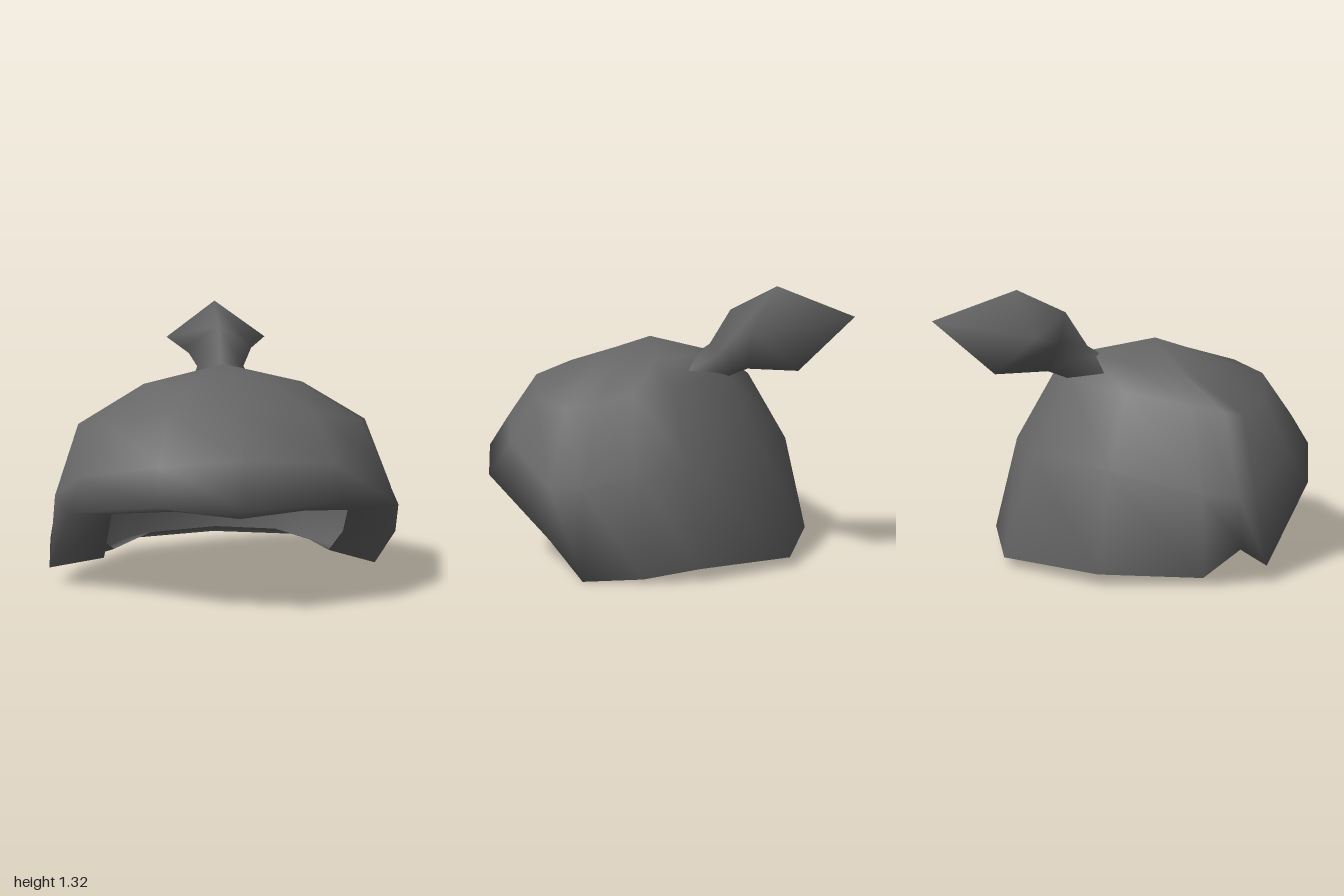
import * as THREE from 'three';
import { mergeVertices } from 'three/addons/utils/BufferGeometryUtils.js';

// Smooth skin over a list of closed rings, each an array of [x, y, z]
function loft(rings) {
  const n = rings[0].length;
  const index = [];
  for (let r = 0; r < rings.length - 1; r++) {
    for (let c = 0; c < n; c++) {
      const a = r * n + c, b = r * n + (c + 1) % n;
      index.push(a, b, a + n, b, b + n, a + n);
    }
  }
  let geo = new THREE.BufferGeometry();
  geo.setAttribute('position', new THREE.Float32BufferAttribute(rings.flat(2), 3));
  geo.setIndex(index);
  geo = mergeVertices(geo, 1e-4);
  geo.computeVertexNormals();
  return geo;
}

const pointRing = (n, p) => Array.from({ length: n }, () => p);

// Hair edge, from the front centre round by the left side
const rim = [
  [0, 0.49, 1], [0.46, 0.49, 0.84], [0.76, 0.42, 0.55], [0.855, 0.19, 0.08], [0.78, 0, -0.05],
  [0.64, 0.02, -0.29], [0.46, 0.06, -0.48], [0, 0.045, -0.67], [-0.5, 0.06, -0.45],
  [-0.75, 0.04, -0.04], [-0.86, 0.19, 0.1], [-0.86, 0.08, 0.24], [-0.75, 0.41, 0.57],
  [-0.37, 0.49, 0.89],
];
// Inner lip of the hair edge
const lip = [
  [0, 0.41, 0.77], [0.3, 0.42, 0.66], [0.54, 0.38, 0.46], [0.585, 0.2, 0.1], [0.54, 0.07, -0.05],
  [0.46, 0.09, -0.24], [0.31, 0.11, -0.4], [0, 0.1, -0.54], [-0.36, 0.11, -0.37],
  [-0.55, 0.1, -0.04], [-0.61, 0.18, 0.1], [-0.6, 0.12, 0.23], [-0.56, 0.38, 0.46],
  [-0.28, 0.43, 0.68],
];
// Outer ring half way up the head
const side = [
  [0, 0.68, 0.86], [0.42, 0.65, 0.74], [0.7, 0.58, 0.46], [0.825, 0.42, 0.1], [0.77, 0.42, -0.04],
  [0.58, 0.48, -0.21], [0.42, 0.52, -0.37], [0, 0.53, -0.51], [-0.46, 0.52, -0.35],
  [-0.73, 0.42, -0.03], [-0.82, 0.42, 0.1], [-0.83, 0.42, 0.19], [-0.7, 0.56, 0.48],
  [-0.36, 0.65, 0.78],
];

// Shrink the side ring towards the crown: narrower behind, lower at the ears
const crownRing = (sx, sz, centreZ, y, droop) => side.map(([x, , z]) => [
  x * sx * (0.88 + 0.12 * THREE.MathUtils.smoothstep(z, -0.05, 0.2)),
  y - droop * x * x,
  centreZ + (z - centreZ) * sz,
]);

// Hollow cap with a turned-in edge, open underneath
function capGeometry() {
  return loft([
    lip,
    rim,
    side,
    crownRing(0.86, 0.73, 0.23, 0.89, 0.18),
    crownRing(0.48, 0.41, 0.05, 0.98, 0.05),
    pointRing(rim.length, [-0.02, 1.045, 0.18]),
  ]);
}

// Tied tail: half width, then [y, z] of the top, sides and underside
function tailGeometry() {
  const sections = [
    [0.17, [0.97, -0.1], [0.9, -0.17], [0.85, -0.25]],
    [0.12, [1.03, -0.2], [0.99, -0.33], [0.89, -0.33]],
    [0.175, [1.2, -0.32], [1.08, -0.45], [0.925, -0.42]],
    [0.265, [1.32, -0.58], [1.125, -0.625], [0.935, -0.7]],
  ];
  const rings = sections.map(([w, top, mid, under]) =>
    [[-w + 0.01, ...mid], [0, ...top], [w + 0.01, ...mid], [0, ...under]]);
  return loft([...rings, pointRing(4, [0.02, 1.2, -1])]);
}

export function createModel() {
  const hair = new THREE.MeshStandardMaterial({ color: 0x666666, side: THREE.DoubleSide });
  hair.name = 'charcoal hair';

  const group = new THREE.Group();
  group.name = 'hairstyle';
  const parts = { hairCap: capGeometry(), tiedTail: tailGeometry() };
  for (const [name, geometry] of Object.entries(parts)) {
    const mesh = new THREE.Mesh(geometry, hair);
    mesh.name = name;
    group.add(mesh);
  }
  return group;
}
